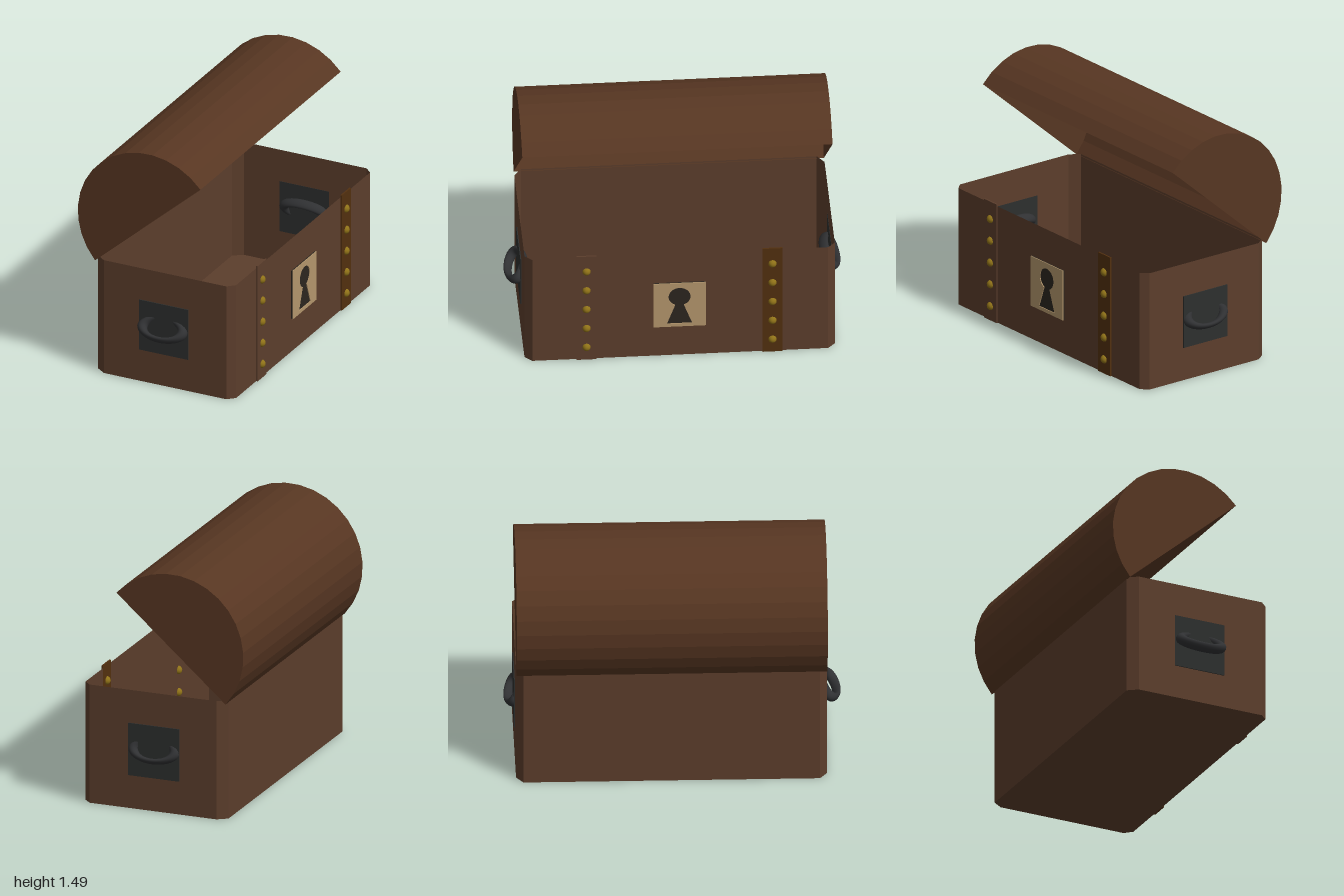
import * as THREE from 'three';

const Z0 = -0.932, Z1 = 0.903, ZC = (Z0 + Z1) / 2;

function mat(color, extra = {}) {
  return new THREE.MeshStandardMaterial({ color, ...extra });
}

function add(parent, name, geometry, material, x = 0, y = 0, z = 0) {
  const mesh = new THREE.Mesh(geometry, material);
  mesh.name = name;
  mesh.position.set(x, y, z);
  parent.add(mesh);
  return mesh;
}

// Open shell: one quad per side of the outline
function wallGeometry(outline, height) {
  const pos = [];
  outline.forEach(([x0, z0], i) => {
    const [x1, z1] = outline[(i + 1) % outline.length];
    pos.push(x0, 0, z0, x1, 0, z1, x1, height, z1, x0, 0, z0, x1, height, z1, x0, height, z0);
  });
  const g = new THREE.BufferGeometry();
  g.setAttribute('position', new THREE.Float32BufferAttribute(pos, 3));
  g.computeVertexNormals();
  return g;
}

export function createModel() {
  const chest = new THREE.Group();
  chest.name = 'chest';
  const thin = { side: THREE.DoubleSide, flatShading: true };
  const wood = mat(0x5c3e2c, thin);
  const lidWood = mat(0x573622, thin);
  const gold = mat(0x8f7218);
  const iron = mat(0x2d2f2e);
  const ringIron = mat(0x303133);
  const dark = mat(0x2c261f);

  // Box with chamfered corners, open at the top (outline runs counterclockwise from above)
  const outline = [
    [-0.36, Z1], [0.45, Z1], [0.493, 0.86], [0.493, -0.89],
    [0.45, Z0], [-0.36, Z0], [-0.42, -0.89], [-0.42, 0.86],
  ];
  add(chest, 'boxWalls', wallGeometry(outline, 0.735), wood);
  const floor = new THREE.ShapeGeometry(
    new THREE.Shape(outline.map(([x, z]) => new THREE.Vector2(x, z))));
  floor.rotateX(Math.PI / 2);
  add(chest, 'boxFloor', floor, wood);

  // Half-round hollow lid, swung open on the hinge side
  const lid = new THREE.CylinderGeometry(0.462, 0.462, Z1 - Z0, 16, 1, false, -0.854 - Math.PI, Math.PI);
  lid.rotateX(Math.PI / 2);
  add(chest, 'lid', lid, lidWood, -0.07, 1.025, ZC);

  // Two straps with studs
  const stud = new THREE.SphereGeometry(0.026, 16, 12);
  [[0.54, wood], [-0.56, mat(0x53300f)]].forEach(([z, material]) => {
    add(chest, 'strap', new THREE.BoxGeometry(0.01, 0.75, 0.118), material, 0.498, 0.375, z);
    for (let i = 0; i < 5; i++) add(chest, 'stud', stud, gold, 0.497, 0.09 + i * 0.1375, z);
  });

  // Lock plate with a cut-out keyhole and a dark backing
  const plate = new THREE.Shape();
  plate.moveTo(-0.155, -0.157).lineTo(0.155, -0.157).lineTo(0.155, 0.157).lineTo(-0.155, 0.157);
  const hole = new THREE.Path();
  hole.moveTo(-0.075, -0.135).lineTo(0.075, -0.135).lineTo(0.026, -0.002);
  hole.absarc(0, 0.058, 0.065, -1.16, Math.PI + 1.16, false);
  hole.lineTo(-0.075, -0.135);
  plate.holes.push(hole);
  const plateGeo = new THREE.ExtrudeGeometry(plate, { depth: 0.005, bevelEnabled: false, curveSegments: 24 });
  plateGeo.rotateY(Math.PI / 2);
  add(chest, 'lockPlate', plateGeo, mat(0xb5976d), 0.502, 0.372, -0.01);
  add(chest, 'keyholeBacking', new THREE.BoxGeometry(0.007, 0.312, 0.308), dark, 0.4975, 0.372, -0.01);

  // Handle plates and drooping oval rings on both ends
  const ring = new THREE.TorusGeometry(0.131, 0.031, 14, 40);
  ring.scale(1, 0.5, 1);
  [[1, Z1, 0.925, 0.78], [-1, Z0, -0.932, 0.58]].forEach(([side, wall, z, tilt]) => {
    add(chest, 'handlePlate', new THREE.BoxGeometry(0.325, 0.325, 0.008), iron, 0.038, 0.368, wall + side * 0.002);
    add(chest, 'handleRing', ring, ringIron, 0.038, 0.375, z).rotation.x = -side * tilt;
  });

  return chest;
}
